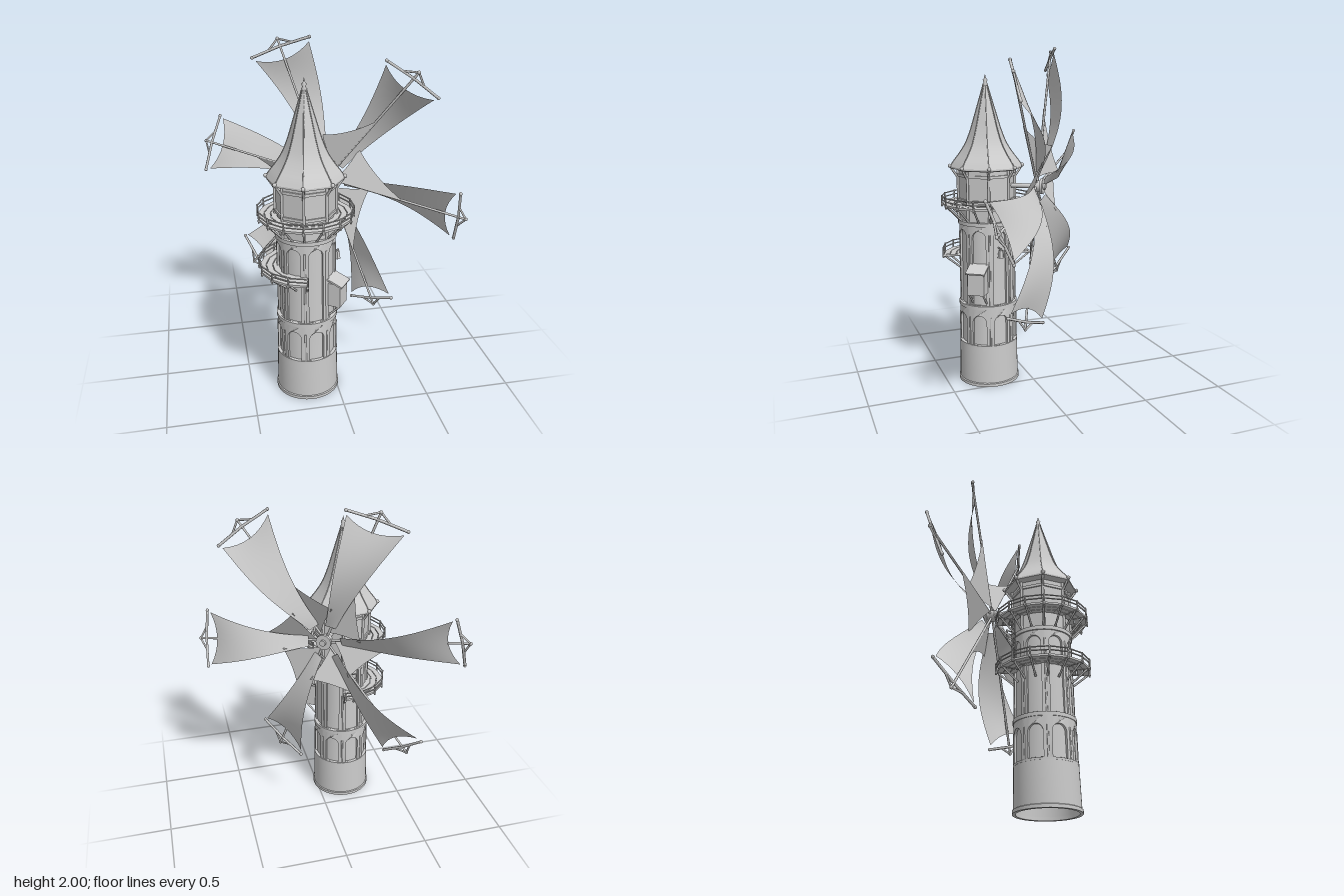
import * as THREE from 'three';
import { toCreasedNormals } from 'three/addons/utils/BufferGeometryUtils.js';

const { PI, cos, sin } = Math;
const V = (x, y, z) => new THREE.Vector3(x, y, z);
const rad = THREE.MathUtils.degToRad;
const smooth = new THREE.MeshStandardMaterial({ color: 0xcccccc });
const flat = new THREE.MeshStandardMaterial({ color: 0xcccccc, flatShading: true, side: THREE.DoubleSide });
const cloth = new THREE.MeshStandardMaterial({ color: 0xcccccc, side: THREE.DoubleSide });

function add(parent, name, geo, mat = smooth) {
  const m = new THREE.Mesh(geo, mat);
  m.name = name;
  parent.add(m);
  return m;
}
// round bar between two points
function bar(parent, name, a, b, r = 0.005, sides = 6) {
  const m = add(parent, name, new THREE.CylinderGeometry(r, r, a.distanceTo(b), sides));
  m.position.copy(a).lerp(b, 0.5);
  m.quaternion.setFromUnitVectors(V(0, 1, 0), b.clone().sub(a).normalize());
}
function ball(parent, name, p, r) {
  add(parent, name, new THREE.SphereGeometry(r, 8, 6)).position.copy(p);
}
// point around the tower axis, angle in degrees from the rotor side
const polar = (r, y, deg) => V(r * cos(rad(deg)), y, r * sin(rad(deg)));
const lathe = (pts, n, start = 0, len = 2 * PI) =>
  new THREE.LatheGeometry(pts.map(p => new THREE.Vector2(p[0], p[1])), n, start, len);

// one eighth of a curved wall with an arched opening
function archPanel(R, y0, y1, a0, a1, halfW, depth) {
  const hw = R * PI / 8, n = 8, s = new THREE.Shape(), hole = new THREE.Path();
  s.moveTo(-hw, y0);
  for (let i = 1; i <= n; i++) s.lineTo(-hw + 2 * hw * i / n, y0);
  for (let i = 0; i <= n; i++) s.lineTo(hw - 2 * hw * i / n, y1);
  hole.moveTo(-halfW, a0);
  hole.lineTo(-halfW, a1 - halfW);
  hole.absarc(0, a1 - halfW, halfW, PI, 0, true);
  hole.lineTo(halfW, a0);
  for (let i = 1; i < 4; i++) hole.lineTo(halfW - halfW * i / 2, a0);
  s.holes.push(hole);
  const g = new THREE.ExtrudeGeometry(s, { depth, bevelEnabled: false, curveSegments: 8 });
  const p = g.attributes.position;
  for (let i = 0; i < p.count; i++) {
    const a = p.getX(i) / R, r = R - depth + p.getZ(i);
    p.setXYZ(i, r * cos(a), p.getY(i), -r * sin(a));
  }
  return toCreasedNormals(g, 0.6);
}

// walkway with railing and struts over an arc of the tower
function gallery(parent, name, y, from, to, n, inner, outer, drop) {
  const g = new THREE.Group();
  g.name = name;
  parent.add(g);
  const start = rad(90 - to), len = rad(to - from), step = (outer - inner) / 3;
  for (let k = 0; k < 3; k++) {
    const a = inner + k * step, b = a + step - 0.004;
    const plank = [[a, y - 0.006], [b, y - 0.006], [b, y + 0.006], [a, y + 0.006], [a, y - 0.006]];
    add(g, 'floorPlank', lathe(plank, n, start, len), flat);
  }
  const at = i => from + (to - from) * i / n;
  for (let i = 0; i <= n; i++) {
    const a = at(i);
    bar(g, 'railPost', polar(outer, y - 0.015, a), polar(outer, y + 0.052, a), 0.005);
    bar(g, 'strut', polar(inner + 0.005, y - drop, a), polar(outer - 0.015, y - 0.008, a), 0.006);
    bar(g, 'floorBeam', polar(inner, y - 0.002, a), polar(outer + 0.005, y - 0.002, a), 0.007);
    if (i < n) for (const h of [0.026, 0.047])
      bar(g, 'rail', polar(outer, y + h, a), polar(outer, y + h, at(i + 1)), 0.004);
  }
}

function buildTower() {
  const t = new THREE.Group();
  t.name = 'tower';
  // hollow base and inner core
  const base = [[0.165, 0.02], [0.165, 0], [0.184, 0], [0.184, 0.018], [0.178, 0.022], [0.174, 0.245], [0.158, 0.25]];
  add(t, 'base', toCreasedNormals(lathe(base, 48), 0.5), cloth);
  add(t, 'core', lathe([[0.165, 0.02], [0.158, 0.25], [0.155, 0.48], [0.15, 1.0]], 48), cloth);
  // bands between the storeys
  for (const [y, h, r] of [[0.25, 0.012, 0.175], [0.49, 0.022, 0.174], [0.99, 0.022, 0.172]])
    add(t, 'band', new THREE.CylinderGeometry(r, r, h, 48)).position.y = y;
  // arcades, pilasters and upper room corners
  const low = archPanel(0.17, 0.25, 0.485, 0.258, 0.44, 0.043, 0.014);
  const high = archPanel(0.164, 0.495, 0.985, 0.505, 0.95, 0.042, 0.013);
  for (let k = 0; k < 8; k++) {
    add(t, 'lowerArch', low).rotation.y = k * PI / 4;
    add(t, 'upperArch', high).rotation.y = k * PI / 4;
    const a = 22.5 + 45 * k;
    bar(t, 'lowerPilaster', polar(0.168, 0.25, a), polar(0.168, 0.43, a), 0.006);
    bar(t, 'upperPilaster', polar(0.162, 0.5, a), polar(0.162, 0.93, a), 0.006);
    bar(t, 'roomPost', polar(0.168, 1.0, a), polar(0.168, 1.31, a), 0.008);
    bar(t, 'eaveBracket', polar(0.168, 1.25, a), polar(0.205, 1.305, a), 0.007);
  }
  // eight-sided upper room
  add(t, 'upperRoom', new THREE.CylinderGeometry(0.163, 0.163, 0.31, 8, 1, false, PI / 8), flat).position.y = 1.155;
  for (const y of [1.12, 1.265])
    add(t, 'roomBand', new THREE.CylinderGeometry(0.172, 0.172, 0.016, 8, 1, false, PI / 8), flat).position.y = y;
  buildRoof(t);

  gallery(t, 'upperGallery', 1.095, 20, 340, 14, 0.16, 0.265, 0.095);
  gallery(t, 'sideBalcony', 0.785, 153, 335, 8, 0.155, 0.265, 0.08);

  // closet hanging on the side wall
  const closet = new THREE.Group();
  closet.name = 'hangingCloset';
  closet.position.z = 0.185;
  t.add(closet);
  add(closet, 'closetBody', new THREE.BoxGeometry(0.1, 0.14, 0.085), flat).position.y = 0.655;
  const lid = add(closet, 'closetRoof', new THREE.BoxGeometry(0.116, 0.01, 0.11), flat);
  lid.position.set(0, 0.735, 0.005);
  lid.rotation.x = 0.38;
  for (const x of [-0.042, 0.042])
    bar(closet, 'closetBrace', V(x, 0.52, -0.03), V(x, 0.585, 0.035), 0.006);

  // small wall lantern and ladder between the walkways
  add(t, 'lantern', new THREE.CylinderGeometry(0.014, 0.02, 0.045, 6), flat).position.copy(polar(0.185, 0.82, 47));
  bar(t, 'lanternArm', polar(0.15, 0.85, 47), polar(0.195, 0.85, 47), 0.005);
  for (const a of [309, 321]) bar(t, 'ladderRail', polar(0.18, 0.79, a), polar(0.18, 1.09, a), 0.004);
  for (let i = 0; i < 9; i++)
    bar(t, 'ladderRung', polar(0.18, 0.82 + i * 0.03, 309), polar(0.18, 0.82 + i * 0.03, 321), 0.003);
  return t;
}

function buildRoof(t) {
  const pts = [[0.212, 1.315], [0.192, 1.345], [0.154, 1.395], [0.12, 1.45], [0.09, 1.525], [0.064, 1.61], [0.037, 1.7], [0.012, 1.785]];
  const curve = new THREE.CatmullRomCurve3(pts.map(p => V(p[0], p[1], 0)));
  const fine = curve.getPoints(24).map(p => [p.x, p.y]);
  const profile = [[0.0, 1.308], [0.197, 1.3], [0.212, 1.305], ...fine];
  add(t, 'roof', toCreasedNormals(lathe(profile, 8, PI / 8), 0.5), cloth);
  const rib = new THREE.TubeGeometry(curve, 20, 0.003, 5);
  for (let k = 0; k < 8; k++) {
    const a = 22.5 + 45 * k;
    add(t, 'roofRib', rib).rotation.y = -rad(a);
    ball(t, 'eaveKnob', polar(0.213, 1.318, a), 0.012);
  }
  const finial = [[0.012, 1.775], [0.017, 1.785], [0.009, 1.795], [0.014, 1.81], [0.006, 1.82], [0, 1.845]];
  add(t, 'finial', lathe(finial, 10));
}

// in a blade: x is along the axle, y across the blade, z outward from the hub
function buildBlade(sailGeo, jibGeo) {
  const b = new THREE.Group();
  b.name = 'blade';
  const left = V(-0.034, 0.16, 0.778), right = V(0.09, -0.16, 0.778), mid = V(0.028, 0, 0.786), tip = V(0.028, 0, 0.828);
  bar(b, 'spar', V(0.02, 0, 0), tip, 0.007);
  for (const end of [left, right]) {
    bar(b, 'tipBar', end, mid, 0.008);
    bar(b, 'tipBrace', mid.clone().lerp(end, 0.42), tip, 0.006);
    ball(b, 'tipKnob', end, 0.01);
  }
  ball(b, 'tipKnob', tip, 0.01);
  add(b, 'sail', sailGeo, cloth);
  add(b, 'jib', jibGeo, cloth);
  return b;
}

function buildRotor() {
  const r = new THREE.Group();
  r.name = 'rotor';
  // twisted, billowing main sail
  const sail = new THREE.PlaneGeometry(2, 1, 8, 20), p = sail.attributes.position;
  for (let i = 0; i < p.count; i++) {
    const q = p.getX(i), s = p.getY(i) + 0.5, w = (q + 1) / 2;
    const plus = 0.025 - 0.05 * s + 0.045 * sin(PI * s);
    const minus = 0.05 + 0.035 * s + 0.075 * sin(PI * s);
    p.setXYZ(i, minus + (plus - minus) * w, q * (0.03 + 0.12 * s ** 1.4),
      0.1 + 0.655 * s - 0.045 * s ** 4 * (1 - q * q));
  }
  sail.computeVertexNormals();
  // small three-cornered sail at the root
  const s = new THREE.Shape();
  s.moveTo(0.05, 0);
  s.lineTo(0.47, 0);
  s.quadraticCurveTo(0.27, 0.075, 0.138, 0.197);
  s.quadraticCurveTo(0.11, 0.09, 0.05, 0);
  const jib = new THREE.ShapeGeometry(s, 10), j = jib.attributes.position;
  for (let i = 0; i < j.count; i++) {
    const out = j.getX(i), side = j.getY(i);
    j.setXYZ(i, 0.015 + 0.42 * side, side, out);
  }
  jib.computeVertexNormals();
  for (let k = 0; k < 6; k++) {
    const blade = buildBlade(sail, jib);
    blade.rotation.x = -rad(51.5 + 60 * k);
    r.add(blade);
  }
  // axle and hub
  bar(r, 'axle', V(-0.28, 0, 0), V(0.06, 0, 0), 0.014, 12);
  bar(r, 'hub', V(-0.005, 0, 0), V(0.05, 0, 0), 0.034, 16);
  bar(r, 'hubDisc', V(0.042, 0, 0), V(0.058, 0, 0), 0.046, 16);
  bar(r, 'hubCap', V(0.058, 0, 0), V(0.072, 0, 0), 0.018, 12);
  return r;
}

export function createModel() {
  const model = new THREE.Group();
  model.name = 'windmill';
  // the axle points along local x
  const mill = new THREE.Group();
  mill.name = 'mill';
  mill.rotation.y = rad(54.7);
  const tower = buildTower();
  tower.position.x = -0.286;
  const rotor = buildRotor();
  rotor.position.set(0, 1.203, -0.008);
  mill.add(tower, rotor);
  model.add(mill);
  return model;
}
